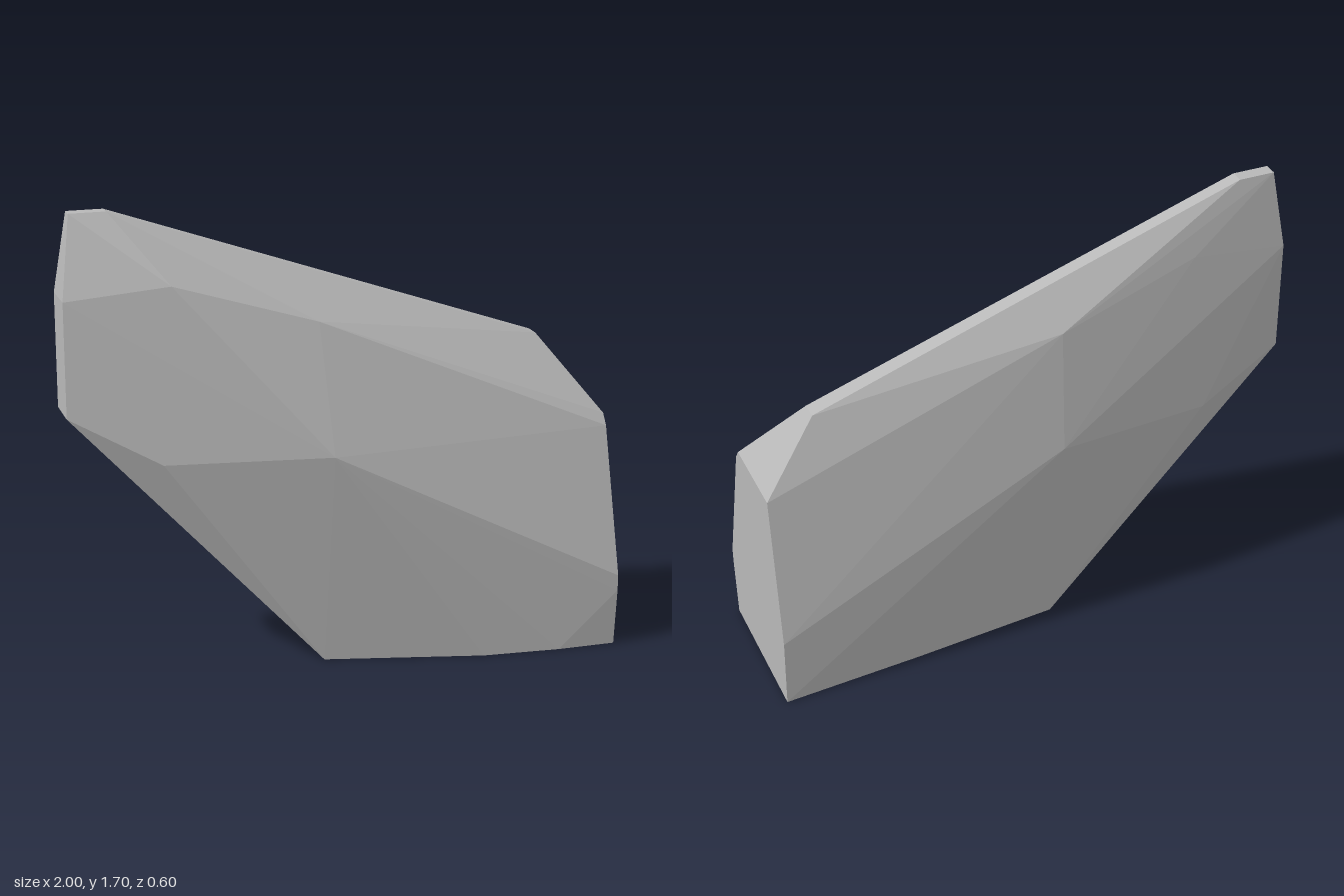
import * as THREE from 'three';
import { ConvexGeometry } from 'three/addons/geometries/ConvexGeometry.js';

// Outline corners: x, y, front z, back z
const rim = [
  [-0.955, 1.695, -0.105, -0.155], // peak
  [-0.82, 1.695, -0.105, -0.155],
  [0.8, 1.135, -0.09, -0.155],     // end of the top ridge
  [1, 0.86, 0.11, -0.215],         // right end
  [1, 0.28, 0.3, -0.296],
  [1, 0, 0.277, -0.287],
  [-0.09, 0, 0.11, -0.19],         // base, left end
  [-1, 0.975, -0.02, -0.185],      // left end
  [-1, 1.4, -0.02, -0.185],
];

// Corners that bulge from the broad faces: x, y, front z, back z
const bulges = [
  [-0.09, 0.83, 0.25, -0.297],
  [-0.68, 0.81, 0.1, -0.23],
  [-0.63, 1.45, 0.062, -0.205],
  [-0.1, 1.29, 0.088, -0.247],
];

// Extra bevel corners: x, y, z
const bevels = [
  [0.21, 0, 0.182], [0.49, 0, 0.25], [0.78, 0, 0.275], // curved front of the base
  [0.47, 0, -0.245],
  [1, 0.22, 0.299], [1, 0.82, 0.14],
];

export function createModel() {
  const stone = new THREE.MeshStandardMaterial({ color: 0xb8b8b8 });
  stone.name = 'grey stone';

  // Faceted slab of rock
  const points = bevels.map((p) => new THREE.Vector3(...p));
  for (const [x, y, front, back] of [...rim, ...bulges]) {
    points.push(new THREE.Vector3(x, y, front), new THREE.Vector3(x, y, back));
  }
  const rock = new THREE.Mesh(new ConvexGeometry(points), stone);
  rock.name = 'rock';

  const group = new THREE.Group();
  group.name = 'facetedRock';
  group.add(rock);
  return group;
}
